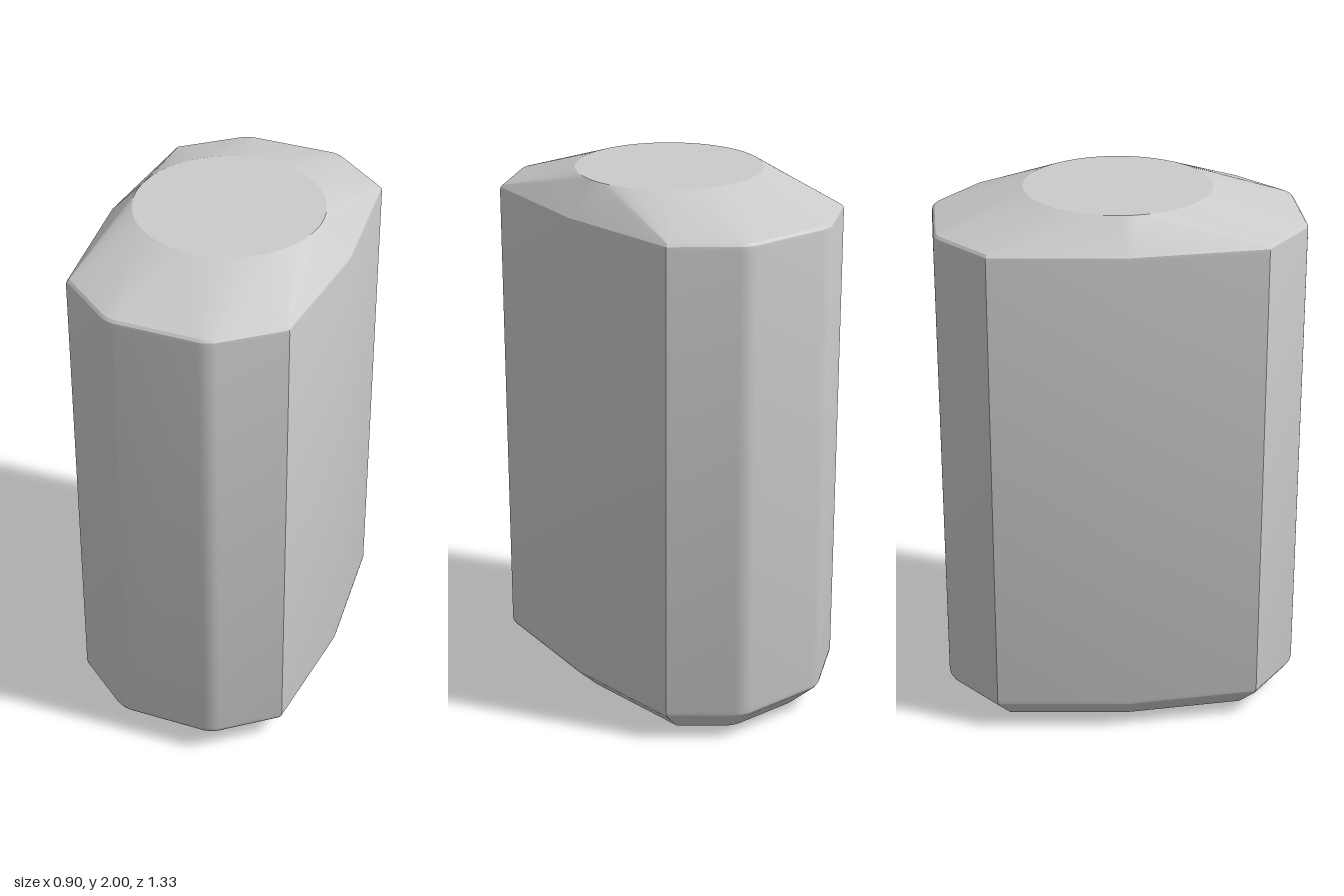
import * as THREE from 'three';
import { toCreasedNormals } from 'three/addons/utils/BufferGeometryUtils.js';

// Right half of the ten-sided plan: x, z, corner rounding
const HALF = [[0.183, 0.665, 0.1], [0.405, 0.49, 0], [0.451, 0, 0], [0.405, -0.49, 0], [0.183, -0.665, 0.1]];
const PLAN = [...HALF, ...HALF.map(([x, z, r]) => [-x, z, r]).reverse()];
const STEPS = 6;
const TOP_RADIUS = 0.34;

// Angle of the outward normal of the side starting at corner i
function sideAngle(i) {
  const n = PLAN.length;
  const [ax, az] = PLAN[(i + n) % n];
  const [bx, bz] = PLAN[(i + 1) % n];
  return Math.atan2(az - bz, bx - ax);
}

// Plan outline moved inward by inset, with a fan of normals at every corner
function outline(inset, y) {
  const ring = [];
  PLAN.forEach(([x, z, r], i) => {
    const a0 = sideAngle(i - 1);
    const turn = (sideAngle(i) - a0 + Math.PI * 4) % (Math.PI * 2);
    const mid = a0 + turn / 2;
    const miter = (inset + r) / Math.cos(turn / 2);
    for (let k = 0; k <= STEPS; k++) {
      const a = a0 + (turn * k) / STEPS;
      ring.push(new THREE.Vector3(
        x - miter * Math.sin(mid) + r * Math.sin(a), y,
        z - miter * Math.cos(mid) + r * Math.cos(a)));
    }
  });
  return ring;
}

// Circle whose points share the normals of the outline fans
function circle(radius, y) {
  const ring = [];
  PLAN.forEach((_, i) => {
    const a0 = sideAngle(i - 1);
    const turn = (sideAngle(i) - a0 + Math.PI * 4) % (Math.PI * 2);
    for (let k = 0; k <= STEPS; k++) {
      const a = a0 + (turn * k) / STEPS;
      ring.push(new THREE.Vector3(radius * Math.sin(a), y, radius * Math.cos(a)));
    }
  });
  return ring;
}

// Skin a stack of rings and close both ends
function loft(rings) {
  const pos = [];
  const tri = (a, b, c) => {
    const area = b.clone().sub(a).cross(c.clone().sub(a)).length();
    if (area > 1e-7) for (const p of [a, b, c]) pos.push(p.x, p.y, p.z);
  };
  const n = rings[0].length;
  const low = rings[0], high = rings[rings.length - 1];
  const lowMid = new THREE.Vector3(0, low[0].y, 0);
  const highMid = new THREE.Vector3(0, high[0].y, 0);
  for (let i = 0; i < n; i++) {
    const j = (i + 1) % n;
    for (let s = 0; s < rings.length - 1; s++) {
      const a = rings[s], b = rings[s + 1];
      tri(a[i], a[j], b[j]);
      tri(a[i], b[j], b[i]);
    }
    tri(lowMid, low[j], low[i]);
    tri(highMid, high[i], high[j]);
  }
  const geo = new THREE.BufferGeometry();
  geo.setAttribute('position', new THREE.Float32BufferAttribute(pos, 3));
  return toCreasedNormals(geo, 0.3);
}

export function createModel() {
  const group = new THREE.Group();
  // Straight body, chamfered foot, and shoulders closing to a round flat top
  const body = new THREE.Mesh(
    loft([
      outline(0.125, 0), outline(0.095, 0.011),
      outline(0.011, 0.093), outline(0.003, 0.106), outline(0, 0.122),
      outline(0, 1.872), outline(0.002, 1.884), outline(0.01, 1.893),
      circle(TOP_RADIUS, 2),
    ]),
    new THREE.MeshStandardMaterial({ color: 0xcccccc }));
  body.name = 'facetedBody';
  group.add(body);
  return group;
}
